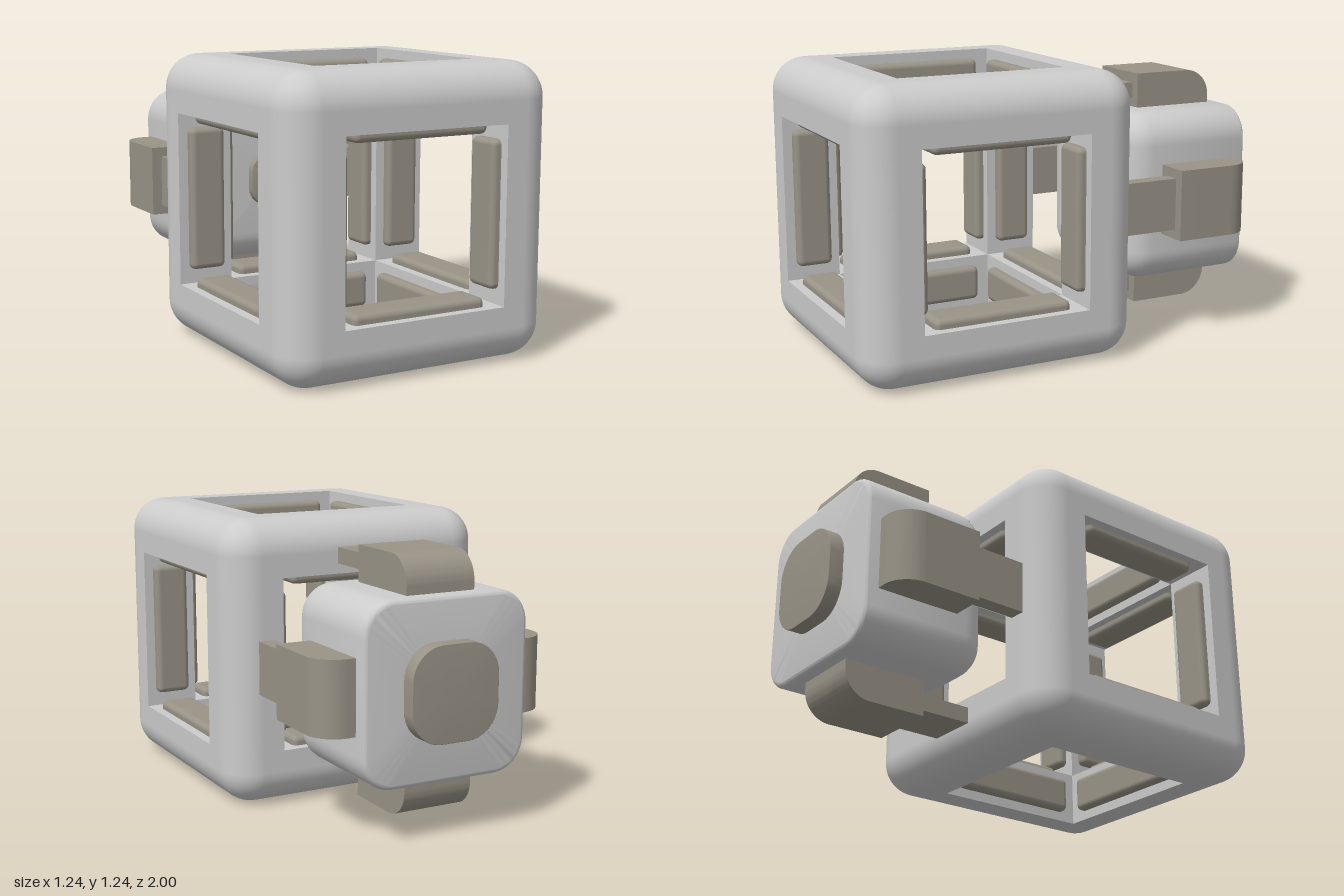
import * as THREE from 'three';
import { toCreasedNormals } from 'three/addons/utils/BufferGeometryUtils.js';
import { RoundedBoxGeometry } from 'three/addons/geometries/RoundedBoxGeometry.js';

const SIZE = 1.24, EDGE = 0.15, HOLE = 0.375, HALF = SIZE / 2;
const grey = new THREE.MeshStandardMaterial({ color: 0xcccccc });
const brown = new THREE.MeshStandardMaterial({ color: 0x999387 });

function add(parent, name, geometry, material, x = 0, y = 0, z = 0) {
  const mesh = new THREE.Mesh(geometry, material);
  mesh.name = name;
  mesh.position.set(x, y, z);
  parent.add(mesh);
  return mesh;
}

// Rounded edges and corners of a cube, with the six flat faces left out
function roundedShell() {
  const box = new RoundedBoxGeometry(SIZE, SIZE, SIZE, 8, EDGE);
  const source = box.index ? box.toNonIndexed() : box;
  const p = source.attributes.position, n = source.attributes.normal;
  const pos = [], nor = [];
  for (let i = 0; i < p.count; i += 3) {
    const centre = [0, 1, 2].map(c =>
      Math.abs(p.getComponent(i, c) + p.getComponent(i + 1, c) + p.getComponent(i + 2, c)) / 3);
    if (centre.filter(v => v < 0.3).length >= 2) continue;
    for (let k = i; k < i + 3; k++) {
      pos.push(p.getX(k), p.getY(k), p.getZ(k));
      nor.push(n.getX(k), n.getY(k), n.getZ(k));
    }
  }
  const g = new THREE.BufferGeometry();
  g.setAttribute('position', new THREE.Float32BufferAttribute(pos, 3));
  g.setAttribute('normal', new THREE.Float32BufferAttribute(nor, 3));
  return g;
}

function square(path, h) {
  path.moveTo(-h, -h);
  path.lineTo(h, -h);
  path.lineTo(h, h);
  path.lineTo(-h, h);
  path.closePath();
  return path;
}

// Rounded square cross-sections along z; sections are [z, inset]
function loft(half, radius, sections) {
  const steps = 10, count = 4 * (steps + 1), pos = [], index = [];
  sections.forEach(([z, inset], s) => {
    const r = Math.max(radius - inset, 0), c = half - inset - r;
    for (let k = 0; k < 4; k++) {
      const sx = k === 0 || k === 3 ? 1 : -1, sy = k < 2 ? 1 : -1;
      for (let i = 0; i <= steps; i++) {
        const a = (k + i / steps) * Math.PI / 2;
        pos.push(sx * c + r * Math.cos(a), sy * c + r * Math.sin(a), z);
      }
    }
    if (s === 0) return;
    for (let j = 0; j < count; j++) {
      const a = (s - 1) * count + j, b = (s - 1) * count + (j + 1) % count;
      index.push(a, b, b + count, a, b + count, a + count);
    }
  });
  const g = new THREE.BufferGeometry();
  g.setAttribute('position', new THREE.Float32BufferAttribute(pos, 3));
  g.setIndex(index);
  return toCreasedNormals(g, 0.5);
}

// Closed block with separately rounded back (z0) and front (z1) rims
function roundedBlock(half, radius, z0, z1, backRim, frontRim) {
  const sections = [[z0, half]], n = 8;
  for (let i = 0; i <= n; i++) {
    const a = i / n * Math.PI / 2;
    sections.push([z0 + backRim * (1 - Math.cos(a)), backRim * (1 - Math.sin(a))]);
  }
  for (let i = 0; i <= n; i++) {
    const a = i / n * Math.PI / 2;
    sections.push([z1 - frontRim * (1 - Math.sin(a)), frontRim * (1 - Math.cos(a))]);
  }
  sections.push([z1, half]);
  return loft(half, radius, sections);
}

function createFrame() {
  const frame = new THREE.Group();
  frame.name = 'cubeFrame';
  add(frame, 'frameEdges', roundedShell(), grey);

  // Flat face with a square opening, and a strip on each opening wall
  const depth = HALF - HOLE;
  const shape = square(new THREE.Shape(), HALF - EDGE);
  shape.holes.push(square(new THREE.Path(), HOLE));
  const faceGeometry = new THREE.ExtrudeGeometry(shape, { depth, bevelEnabled: false });
  const stripGeometry = new RoundedBoxGeometry(0.62, 0.08, 0.16, 3, 0.025);
  const q = Math.PI / 2;
  for (const [rx, ry] of [[0, 0], [0, q], [0, 2 * q], [0, -q], [q, 0], [-q, 0]]) {
    const side = new THREE.Group();
    side.name = 'frameSide';
    side.rotation.set(rx, ry, 0);
    add(side, 'framePanel', faceGeometry, grey, 0, 0, HOLE);
    for (let k = 0; k < 4; k++) {
      const holder = new THREE.Group();
      holder.name = 'innerStrip';
      holder.rotation.z = k * q;
      add(holder, 'strip', stripGeometry, brown, 0, HOLE, HOLE + depth / 2);
      side.add(holder);
    }
    frame.add(side);
  }
  frame.position.z = 0.38;
  return frame;
}

function createArm() {
  const arm = new THREE.Group();
  arm.name = 'arm';
  add(arm, 'armBar', new THREE.BoxGeometry(0.23, 0.07, 0.3), brown, 0, 0.455, -0.37);

  // Bracket outline in (-z, y), rounded at the outer back corner
  const s = new THREE.Shape();
  s.moveTo(0.495, 0.34);
  s.lineTo(0.875, 0.34);
  s.lineTo(0.875, 0.41);
  s.absarc(0.755, 0.415, 0.12, 0, Math.PI / 2, false);
  s.lineTo(0.495, 0.535);
  s.closePath();
  const g = new THREE.ExtrudeGeometry(s, { depth: 0.314, bevelEnabled: false, curveSegments: 12 });
  g.translate(0, 0, -0.157);
  g.rotateY(Math.PI / 2);
  add(arm, 'armBracket', toCreasedNormals(g, 0.5), brown);
  return arm;
}

export function createModel() {
  const model = new THREE.Group();
  model.name = 'model';
  const core = new THREE.Group();
  core.name = 'assembly';
  core.position.y = HALF;
  model.add(core);
  core.add(createFrame());

  // Rear body with its front and back plates
  add(core, 'rearBody', roundedBlock(0.38, 0.14, -0.935, -0.325, 0.025, 0.125), grey);
  add(core, 'backPlate', roundedBlock(0.2, 0.14, -1, -0.9, 0.002, 0.002), brown);
  add(core, 'frontPlate', roundedBlock(0.121, 0.085, -0.36, -0.288, 0.002, 0.002), brown);

  // Four arms joining the body to the frame
  for (let k = 0; k < 4; k++) {
    const arm = createArm();
    arm.rotation.z = k * Math.PI / 2;
    core.add(arm);
  }
  return model;
}
